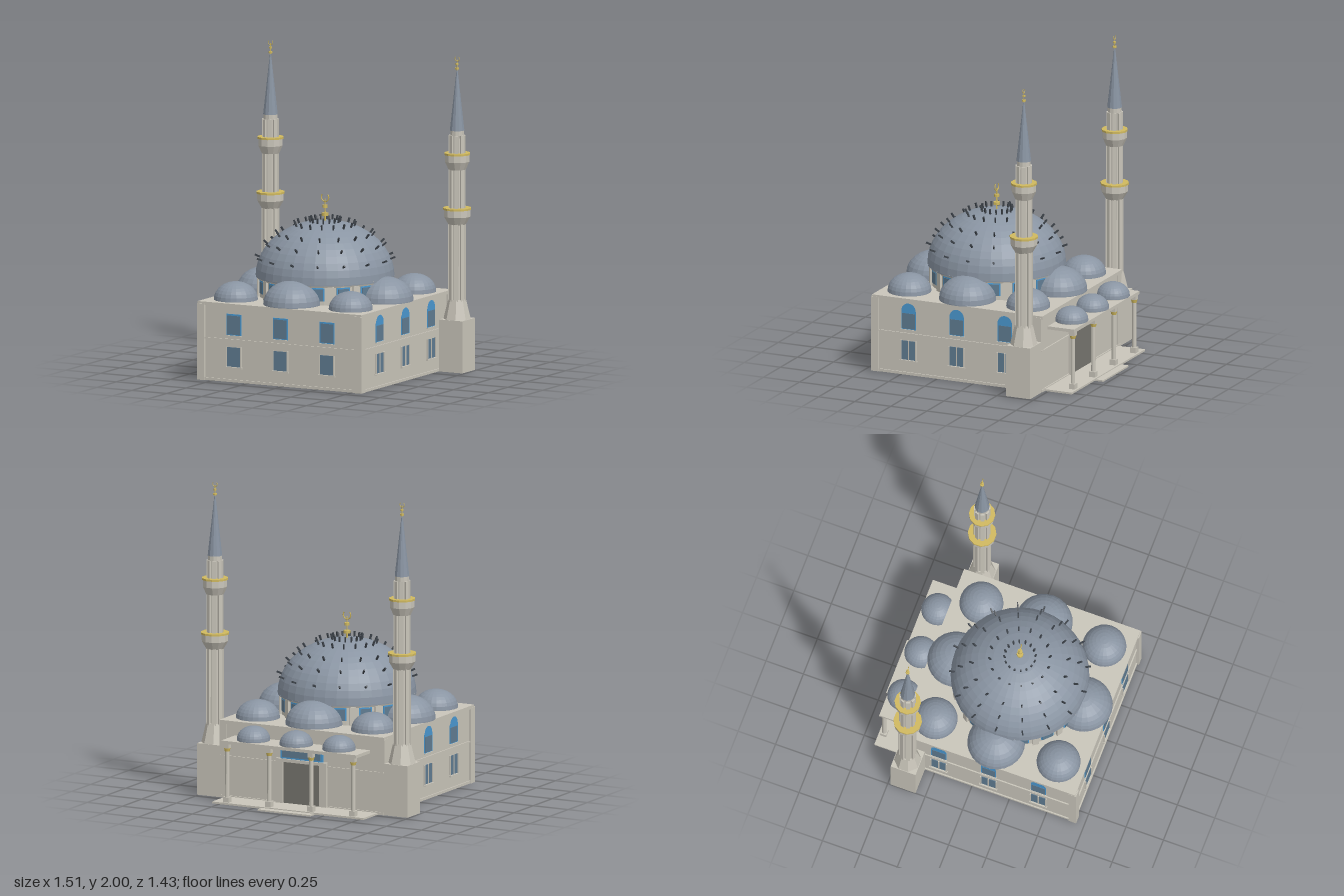
import * as THREE from 'three';

const mat = (name, color, side = THREE.FrontSide) => {
  const m = new THREE.MeshStandardMaterial({ color, side });
  m.name = name;
  return m;
};

export function createModel() {
  const stone = mat('stone', 0xc9c5ba);
  const lead = mat('leadGrey', 0x8a95a3);
  const gold = mat('gold', 0xd0b95f);
  const glass = mat('glass', 0x607c92);
  const blue = mat('blue', 0x4a98d0);
  const dark = mat('darkMetal', 0x3d434a);
  const doorGrey = mat('doorGrey', 0x77756f);

  const root = new THREE.Group();
  root.name = 'domedBuilding';
  const CZ = 0.105; // z of the main dome axis

  const group = (name, parent = root, x = 0, y = 0, z = 0) => {
    const g = new THREE.Group();
    g.name = name;
    g.position.set(x, y, z);
    parent.add(g);
    return g;
  };
  const add = (parent, name, geo, m, x = 0, y = 0, z = 0) => {
    const mesh = new THREE.Mesh(geo, m);
    mesh.name = name;
    mesh.position.set(x, y, z);
    parent.add(mesh);
    return mesh;
  };
  const flat = (geo) => {
    const g = geo.toNonIndexed();
    g.computeVertexNormals();
    return g;
  };
  // box given by its extents
  const box = (parent, name, m, x0, x1, y0, y1, z0, z1) =>
    add(parent, name, new THREE.BoxGeometry(x1 - x0, y1 - y0, z1 - z0), m,
      (x0 + x1) / 2, (y0 + y1) / 2, (z0 + z1) / 2);
  // upright faceted cylinder between two heights
  const drum = (parent, name, m, rBottom, rTop, y0, y1, sides, x = 0, z = 0) => {
    const g = new THREE.CylinderGeometry(rTop, rBottom, y1 - y0, sides);
    g.rotateY(Math.PI / sides);
    return add(parent, name, flat(g), m, x, (y0 + y1) / 2, z);
  };
  const SQUASH = 0.795;
  const dome = (parent, name, r, x, y, z, seg = 24) => {
    const g = new THREE.SphereGeometry(r, seg, seg / 3, 0, Math.PI * 2, 0, Math.PI / 2);
    g.scale(1, SQUASH, 1);
    add(parent, name, flat(g), lead, x, y, z);
    drum(parent, name + 'Base', lead, r, r, y - 0.006, y, seg, x, z);
  };
  // pole with beads and an upturned crescent
  const finial = (parent, x, y, z, h) => {
    const f = group('finial', parent, x, y, z);
    drum(f, 'finialPole', gold, h * 0.03, h * 0.02, 0, h * 0.8, 8);
    drum(f, 'lowerBead', gold, h * 0.12, h * 0.12, h * 0.2, h * 0.3, 8);
    drum(f, 'upperBead', gold, h * 0.09, h * 0.09, h * 0.48, h * 0.58, 8);
    const c = new THREE.TorusGeometry(h * 0.15, h * 0.022, 5, 18, Math.PI * 1.5);
    c.rotateZ(Math.PI * 0.75);
    c.rotateZ(0);
    add(f, 'crescent', c, gold, 0, h * 0.85, 0).rotation.z = Math.PI * 0.0;
  };

  // main hall: recessed walls, corner piers and bands
  const hall = group('hall');
  box(hall, 'walls', stone, -0.575, 0.575, 0.005, 0.497, -0.475, 0.68);
  for (const s of [-1, 1]) for (const z of [-0.455, 0.674]) {
    add(hall, 'cornerPier', new THREE.BoxGeometry(0.05, 0.485, 0.05), stone, s * 0.564, 0.2475, z);
  }
  for (const [name, y0, y1, d] of [['plinth', 0.005, 0.022, 0.008], ['middleBand', 0.268, 0.277, 0.008],
    ['cornice', 0.48, 0.502, 0.012]]) {
    box(hall, name, stone, -0.575 - d, 0.575 + d, y0, y1, -0.475 - d, 0.68 + d);
  }

  // windows, built facing +z around their own centre line
  const windowPair = (parent, x, z, turn, arched) => {
    const w = group('windowPair', parent, x, 0, z);
    w.rotation.y = turn;
    if (arched) {
      const arch = new THREE.CircleGeometry(0.05, 24);
      add(w, 'archPanel', arch, blue, 0, 0.42, 0.004);
      box(w, 'upperFrame', blue, -0.05, 0.05, 0.3, 0.42, 0, 0.004);
      box(w, 'upperPane', glass, -0.044, 0.044, 0.305, 0.405, 0, 0.006);
    } else {
      box(w, 'upperFrame', blue, -0.053, 0.053, 0.3, 0.436, 0, 0.004);
      box(w, 'upperPane', glass, -0.046, 0.046, 0.306, 0.426, 0, 0.006);
    }
    box(w, 'upperSill', stone, -0.054, 0.054, 0.294, 0.301, 0, 0.01);
    box(w, 'lowerPane', glass, -0.048, 0.048, 0.102, 0.225, 0, 0.004);
    if (arched) box(w, 'mullion', stone, -0.004, 0.004, 0.1, 0.228, 0, 0.007);
    for (const s of [-1, 1]) {
      add(w, 'lowerJamb', new THREE.BoxGeometry(0.007, 0.13, 0.01), stone, s * 0.052, 0.163, 0.005);
    }
    box(w, 'lowerSill', stone, -0.06, 0.06, 0.092, 0.101, 0, 0.014);
  };
  const windows = group('windows');
  for (const i of [-1, 0, 1]) {
    windowPair(windows, i * 0.333, 0.68, 0, false);
    for (const s of [-1, 1]) windowPair(windows, s * 0.575, 0.11 + i * 0.333, s * Math.PI / 2, true);
  }

  // drum with sixteen windows under the main dome
  const top = group('mainDome', root, 0, 0, CZ);
  drum(top, 'drumWall', stone, 0.413, 0.413, 0.497, 0.635, 32);
  drum(top, 'drumCornice', stone, 0.425, 0.434, 0.615, 0.637, 32);
  for (let i = 0; i < 16; i++) {
    const bay = group('drumBay', top);
    bay.rotation.y = i * Math.PI / 8;
    box(bay, 'drumWindowFrame', blue, -0.042, 0.042, 0.53, 0.612, 0.408, 0.416);
    box(bay, 'drumWindow', glass, -0.034, 0.034, 0.53, 0.604, 0.41, 0.419);
    const pier = group('drumPier', top);
    pier.rotation.y = (i + 0.5) * Math.PI / 8;
    box(pier, 'drumPilaster', stone, -0.02, 0.02, 0.497, 0.62, 0.4, 0.427);
  }
  const R = 0.435, DOME_Y = 0.632;
  dome(top, 'greatDome', R, 0, DOME_Y, 0, 36);

  // rings of small spikes standing off the dome
  const spikes = group('domeSpikes', top);
  for (const r of [0.095, 0.185, 0.295, 0.362, 0.413]) {
    const y = SQUASH * Math.sqrt(R * R - r * r);
    const normal = new THREE.Vector3(0, y / (SQUASH * SQUASH), r).normalize();
    for (let i = 0; i < 16; i++) {
      const arm = group('spikeArm', spikes);
      arm.rotation.y = i * Math.PI / 8;
      const spike = add(arm, 'spike', new THREE.BoxGeometry(0.009, 0.045, 0.011), dark,
        0, DOME_Y + y + normal.y * 0.01, r + normal.z * 0.01);
      spike.rotation.x = Math.atan2(normal.z, normal.y);
    }
  }
  finial(top, 0, 0.972, 0, 0.178);

  // side and corner domes on the roof
  const roofDomes = group('roofDomes');
  for (const s of [-1, 1]) {
    dome(roofDomes, 'sideDome', 0.181, s * 0.427, 0.51, CZ);
    dome(roofDomes, 'endDome', 0.181, 0, 0.51, CZ + s * 0.427);
    for (const t of [-1, 1]) dome(roofDomes, 'cornerDome', 0.138, s * 0.411, 0.506, CZ + t * 0.411);
  }

  // minarets
  const minaret = (x, z) => {
    const m = group('minaret', root, x, 0, z);
    box(m, 'minaretBase', stone, -0.083, 0.083, 0.005, 0.335, -0.083, 0.083);
    drum(m, 'taperedFoot', stone, 0.086, 0.056, 0.335, 0.46, 8);
    drum(m, 'shaft', stone, 0.047, 0.044, 0.45, 1.53, 12);
    for (const [y0, y1, r] of [[0.45, 0.95, 0.048], [1.03, 1.33, 0.045], [1.38, 1.5, 0.044]]) {
      for (let i = 0; i < 8; i++) {
        const rib = group('rib', m);
        rib.rotation.y = (i + 0.5) * Math.PI / 4;
        box(rib, 'shaftRib', stone, -0.012, 0.012, y0, y1, r - 0.012, r + 0.008);
      }
    }
    for (const [y, r] of [[1.035, 0.09], [1.383, 0.083]]) {
      drum(m, 'balconyFlare', stone, 0.056, r * 0.95, y - 0.1, y - 0.05, 12);
      drum(m, 'balconyWall', stone, r * 0.95, r * 0.95, y - 0.05, y - 0.007, 12);
      drum(m, 'balconyRim', gold, r, r, y - 0.007, y + 0.005, 12);
    }
    drum(m, 'spire', lead, 0.047, 0.004, 1.53, 1.91, 12);
    finial(m, 0, 1.895, 0, 0.105);
  };
  for (const s of [-1, 1]) minaret(s * 0.668, -0.397);

  // rear porch: floor, step, columns, roof slab and domes
  const porch = group('porch');
  box(porch, 'porchFloor', stone, -0.54, 0.54, 0.004, 0.016, -0.668, -0.47);
  box(porch, 'porchStep', stone, -0.187, 0.187, 0, 0.01, -0.72, -0.6);
  box(porch, 'porchRoof', stone, -0.482, 0.482, 0.39, 0.41, -0.657, -0.47);
  for (const x of [-0.45, -0.15, 0.15, 0.45]) {
    const c = group('porchColumn', porch, x, 0, -0.635);
    drum(c, 'columnShaft', stone, 0.014, 0.013, 0.016, 0.39, 12);
    box(c, 'columnFoot', stone, -0.02, 0.02, 0.016, 0.05, -0.02, 0.02);
    drum(c, 'columnCapital', gold, 0.016, 0.021, 0.342, 0.362, 12);
    box(c, 'columnBlock', stone, -0.018, 0.018, 0.362, 0.392, -0.018, 0.018);
  }
  for (const x of [-0.305, 0, 0.305]) {
    dome(porch, 'porchDome', 0.105, x, 0.42, -0.557);
    drum(porch, 'porchDomeRing', stone, 0.1, 0.1, 0.405, 0.416, 24, x, -0.557);
  }

  // rear doorway
  const doorway = group('doorway');
  box(doorway, 'door', doorGrey, -0.13, 0.13, 0.016, 0.28, -0.486, -0.478);
  for (const s of [-1, 1]) {
    add(doorway, 'doorJamb', new THREE.BoxGeometry(0.05, 0.28, 0.025), stone, s * 0.155, 0.155, -0.485);
  }
  box(doorway, 'doorLintel', stone, -0.18, 0.18, 0.28, 0.3, -0.5, -0.475);
  box(doorway, 'fanlightFrame', blue, -0.15, 0.15, 0.3, 0.372, -0.49, -0.475);
  box(doorway, 'fanlight', glass, -0.135, 0.135, 0.31, 0.36, -0.494, -0.486);

  return root;
}
